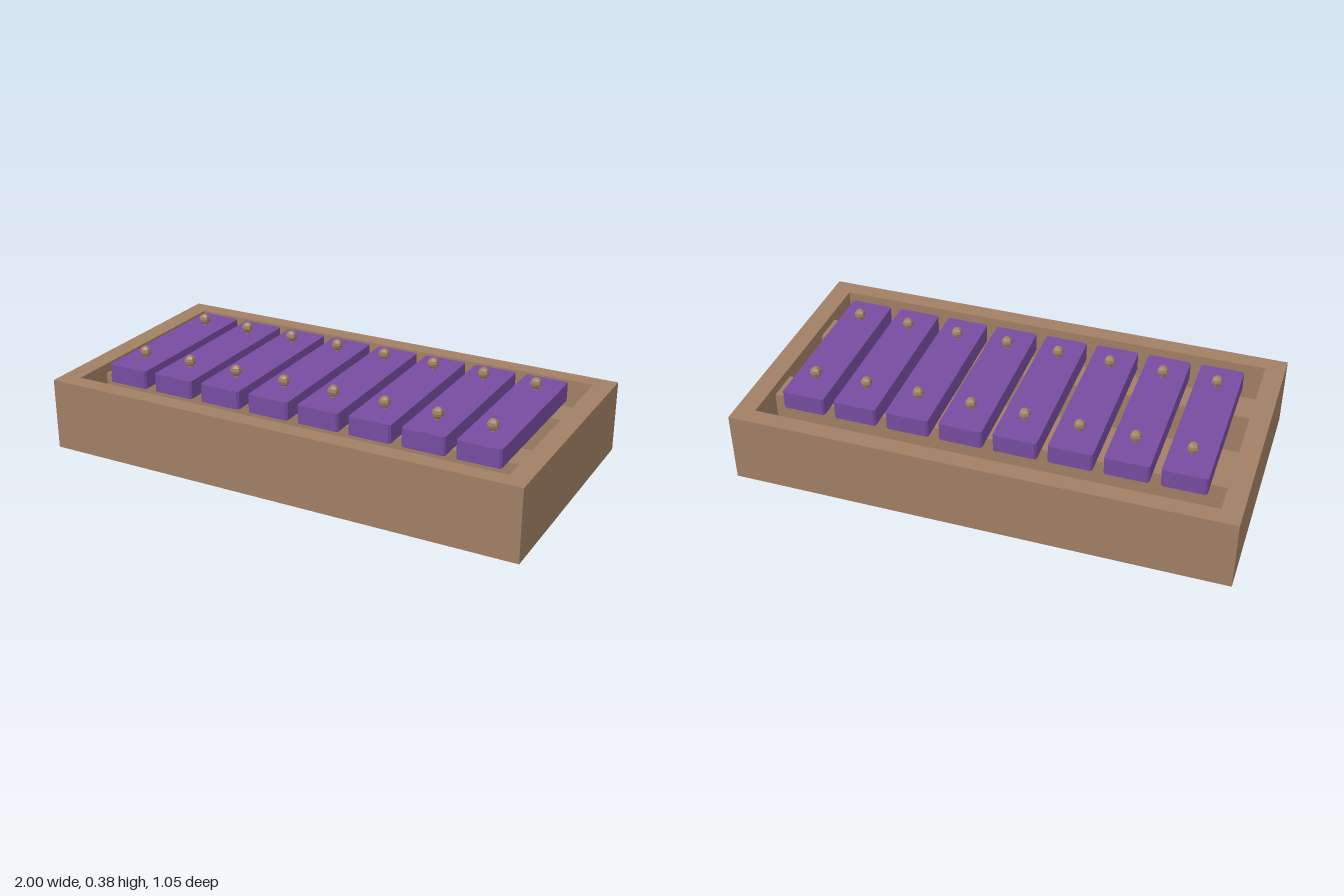
import * as THREE from 'three';

const wood = new THREE.MeshStandardMaterial({ color: 0xa17f63, flatShading: true });
const purple = new THREE.MeshStandardMaterial({ color: 0x764ca0, flatShading: true });

const W = 2, D = 1.046, H = 0.295;        // outer box
const IN_W = 1.84, IN_D = 0.904;          // opening
const FLOOR = 0.08, BAR_Y = 0.255, BAR_H = 0.075;

function add(parent, name, geometry, material, x = 0, y = 0, z = 0) {
  const mesh = new THREE.Mesh(geometry, material);
  mesh.name = name;
  mesh.position.set(x, y, z);
  parent.add(mesh);
  return mesh;
}

// Rectangle in plan with optionally cut corners
function rectPoints(w, d, c = 0) {
  const x = w / 2, z = d / 2;
  const pts = c
    ? [[-x + c, -z], [x - c, -z], [x, -z + c], [x, z - c], [x - c, z], [-x + c, z], [-x, z - c], [-x, -z + c]]
    : [[-x, -z], [x, -z], [x, z], [-x, z]];
  return pts.map(([a, b]) => new THREE.Vector2(a, b));
}

// Plan shape raised upward from y = 0
function raise(shape, height) {
  return new THREE.ExtrudeGeometry(shape, { depth: height, bevelEnabled: false }).rotateX(-Math.PI / 2);
}

export function createModel() {
  const model = new THREE.Group();
  model.name = 'xylophone';

  // Open tray: four walls on a floor
  const frame = new THREE.Shape(rectPoints(W, D));
  frame.holes.push(new THREE.Path(rectPoints(IN_W, IN_D).reverse()));
  add(model, 'trayWalls', raise(frame, H), wood);
  add(model, 'trayFloor', new THREE.BoxGeometry(IN_W, FLOOR, IN_D), wood, 0, FLOOR / 2, 0);

  // Two long rails carry the bars
  const railH = BAR_Y - FLOOR;
  for (const side of [1, -1]) {
    add(model, side > 0 ? 'frontRail' : 'backRail',
      new THREE.BoxGeometry(IN_W, railH, 0.133), wood, 0, FLOOR + railH / 2, side * 0.219);
  }

  // Eight bars, each held by two pins with round heads
  const barGeo = raise(new THREE.Shape(rectPoints(0.175, 0.7, 0.008)), BAR_H);
  const stemGeo = new THREE.CylinderGeometry(0.008, 0.008, 0.03, 6);
  const headGeo = new THREE.SphereGeometry(0.0235, 6, 6).rotateY(Math.PI / 6);
  for (let i = 0; i < 8; i++) {
    const key = new THREE.Group();
    key.name = `key${i + 1}`;
    key.position.x = (i - 3.5) * 0.218;
    add(key, 'bar', barGeo, purple, 0, BAR_Y, 0);
    for (const z of [0.219, -0.219]) {
      add(key, 'pinStem', stemGeo, wood, 0, 0.335, z);
      add(key, 'pinHead', headGeo, wood, 0, 0.358, z);
    }
    model.add(key);
  }
  return model;
}
